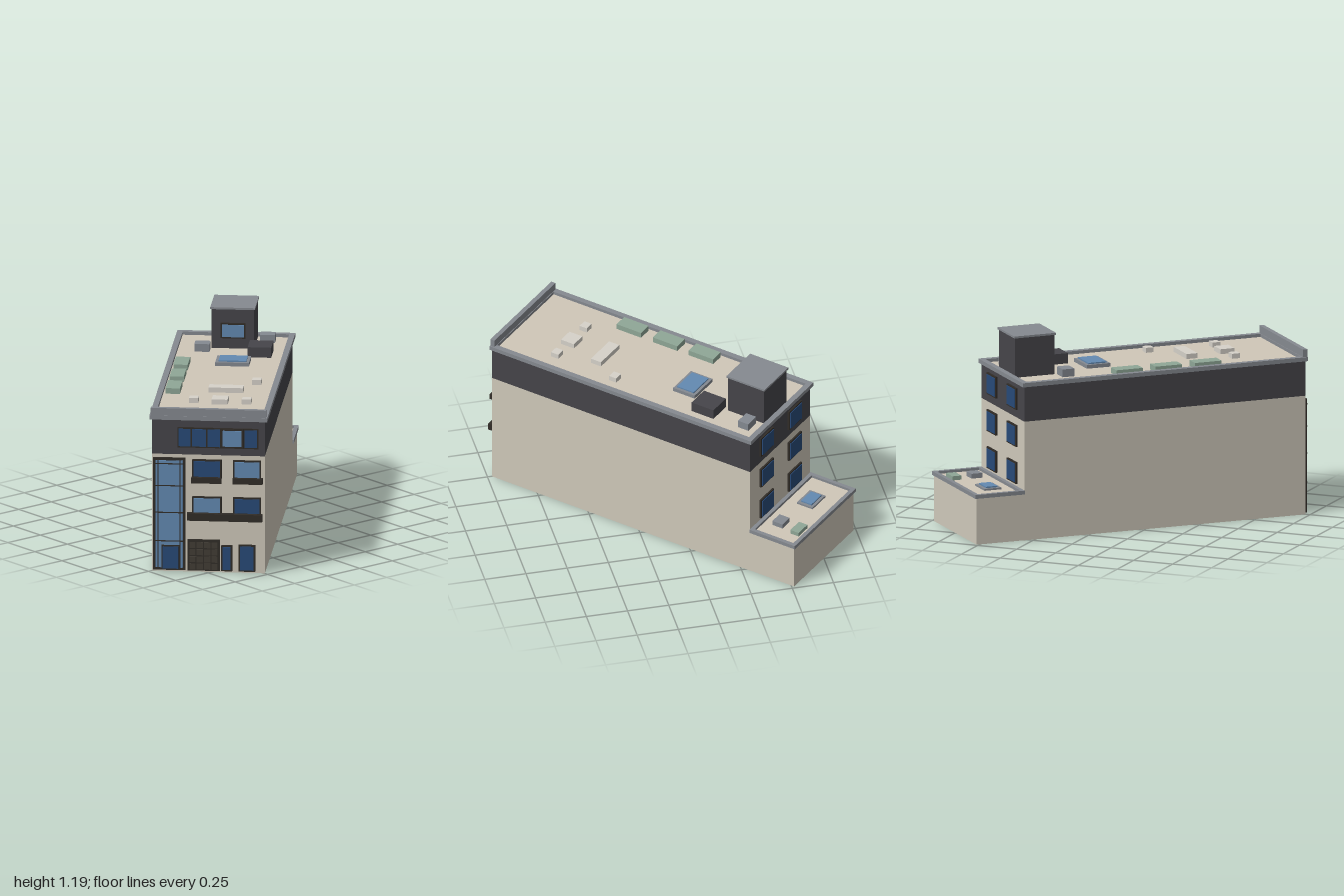
import * as THREE from 'three';

const mat = (color) => new THREE.MeshStandardMaterial({ color, flatShading: true });
const M = {
  wall: mat(0xd0cabb), charcoal: mat(0x46454a), deck: mat(0xd0c7b8), coping: mat(0x868a90),
  frame: mat(0x322d28), panel: mat(0x423d36), glass: mat(0x638ab2), darkGlass: mat(0x284a78),
  green: mat(0x8fa797), vent: mat(0xd6d2ca), unit: mat(0x858a92),
};

export function createModel() {
  const model = new THREE.Group();
  model.name = 'townhouse';
  // the whole building stands diagonally; inside it the facade faces +z
  const house = new THREE.Group();
  house.name = 'building';
  house.rotation.y = Math.PI / 4;
  model.add(house);

  // box from its minimum and maximum extents
  function box(name, m, x0, x1, y0, y1, z0, z1) {
    const mesh = new THREE.Mesh(new THREE.BoxGeometry(x1 - x0, y1 - y0, z1 - z0), m);
    mesh.position.set((x0 + x1) / 2, (y0 + y1) / 2, (z0 + z1) / 2);
    mesh.name = name;
    house.add(mesh);
    return mesh;
  }
  // box standing on a roof, from centre and size
  const onRoof = (name, m, x, z, w, d, y0, y1) =>
    box(name, m, x - w / 2, x + w / 2, y0, y1, z - d / 2, z + d / 2);

  // flat rectangular ring along the roof edge
  function ring(name, m, x0, x1, z0, z1, t, y0, y1) {
    const s = new THREE.Shape([[x0, -z0], [x0, -z1], [x1, -z1], [x1, -z0]].map((p) => new THREE.Vector2(...p)));
    s.holes.push(new THREE.Path([[x0 + t, -z0 - t], [x1 - t, -z0 - t], [x1 - t, -z1 + t], [x0 + t, -z1 + t]]
      .map((p) => new THREE.Vector2(...p))));
    const g = new THREE.ExtrudeGeometry(s, { depth: y1 - y0, bevelEnabled: false });
    g.rotateX(-Math.PI / 2);
    const mesh = new THREE.Mesh(g, m);
    mesh.position.y = y0;
    mesh.name = name;
    house.add(mesh);
  }

  // framed pane on a wall at depth z; dir is +1 facing front, -1 facing back
  function pane(name, x0, x1, y0, y1, glass, z, dir = 1, edge = 0.009) {
    const slab = (n, m, e, out) => box(n, m, x0 + e, x1 - e, y0 + e, y1 - e,
      Math.min(z - dir * 0.01, z + dir * out), Math.max(z - dir * 0.01, z + dir * out));
    slab(name + 'Frame', M.frame, 0, 0.012);
    slab(name + 'Glass', glass, edge, 0.017);
  }

  function skylight(x, z, w, d, y0, y1) {
    onRoof('skylightCurb', M.unit, x, z, w, d, y0, y1 - 0.008);
    onRoof('skylightGlass', M.glass, x, z, w - 0.035, d - 0.035, y0, y1);
  }

  // main body, top storey and roof
  const F = 1.04, B = -0.755, W = 0.335;
  box('mainWalls', M.wall, -W, W, 0, 0.72, B, F);
  box('topStorey', M.charcoal, -W, W, 0.72, 0.932, B, F);
  box('roofDeck', M.deck, -0.325, 0.325, 0.925, 0.938, B + 0.01, F - 0.01);
  ring('roofCoping', M.coping, -0.35, 0.35, -0.77, 1.05, 0.034, 0.932, 0.957);
  box('frontParapet', M.coping, -0.342, 0.342, 0.957, 1.003, 1.02, 1.048);

  // low rear extension
  box('extensionWalls', M.wall, -0.333, 0.333, 0, 0.28, -1.06, B);
  box('extensionDeck', M.deck, -0.325, 0.325, 0.27, 0.287, -1.05, B);
  ring('extensionCoping', M.coping, -0.342, 0.342, -1.07, B, 0.024, 0.28, 0.303);

  // tall stairwell glazing with its entrance door
  pane('stairwell', -0.328, -0.135, 0.01, 0.7, M.glass, F, 1, 0.016);
  for (const x of [-0.298, -0.166]) box('stairwellMullion', M.frame, x - 0.003, x + 0.003, 0.02, 0.69, F, F + 0.02);
  for (const y of [0.19, 0.365, 0.53, 0.665]) box('stairwellRail', M.frame, -0.315, -0.148, y - 0.003, y + 0.003, F, F + 0.02);
  pane('entranceDoor', -0.278, -0.168, 0.012, 0.165, M.darkGlass, F + 0.006);

  // garage door with raised panels
  box('garageFrame', M.frame, -0.122, 0.07, 0.01, 0.2, F - 0.01, F + 0.012);
  for (let r = 0; r < 4; r++)
    for (let c = 0; c < 4; c++) {
      const x = -0.112 + c * 0.0435, y = 0.018 + r * 0.044;
      box('garagePanel', M.panel, x, x + 0.038, y, y + 0.036, F, F + 0.016);
    }

  // ground floor doors and upper windows
  pane('narrowDoor', 0.077, 0.142, 0.01, 0.168, M.darkGlass, F);
  pane('sideDoor', 0.18, 0.278, 0.01, 0.174, M.darkGlass, F);
  pane('window', -0.095, 0.08, 0.36, 0.465, M.glass, F);
  pane('window', 0.147, 0.313, 0.36, 0.465, M.darkGlass, F);
  pane('window', -0.095, 0.08, 0.58, 0.693, M.darkGlass, F);
  pane('window', 0.147, 0.313, 0.58, 0.693, M.glass, F);
  box('balcony', M.frame, -0.125, 0.322, 0.322, 0.366, F - 0.01, 1.075);
  for (const x of [-0.1, 0.145]) box('windowBox', M.frame, x, x + 0.178, 0.55, 0.585, F - 0.01, 1.065);

  // ribbon window in the top storey
  box('ribbonFrame', M.frame, -0.182, 0.298, 0.765, 0.888, F - 0.01, F + 0.01);
  for (const [x0, x1] of [[-0.175, -0.105], [-0.095, -0.013], [-0.003, 0.07], [0.215, 0.29]])
    box('ribbonPane', M.darkGlass, x0, x1, 0.773, 0.88, F, F + 0.014);
  pane('ribbonCasement', 0.078, 0.208, 0.77, 0.885, M.glass, F + 0.004);

  // rear windows, three rows of two
  for (const y of [0.32, 0.545, 0.77])
    for (const x of [-0.157, 0.157]) pane('rearWindow', x - 0.072, x + 0.072, y, y + 0.13, M.darkGlass, B, -1);

  // stair penthouse
  const R = 0.935;
  onRoof('penthouse', M.charcoal, 0.005, -0.601, 0.252, 0.252, R, 1.178);
  onRoof('penthouseRoof', M.coping, 0.005, -0.601, 0.266, 0.266, 1.178, 1.19);
  pane('penthouseWindow', -0.066, 0.082, 1.002, 1.095, M.glass, -0.475);

  // rooftop equipment
  onRoof('airUnit', M.unit, 0.198, -0.65, 0.09, 0.07, R, 0.985);
  onRoof('airUnit', M.unit, -0.17, -0.424, 0.09, 0.075, R, 0.985);
  onRoof('plantBox', M.charcoal, 0.18, -0.371, 0.14, 0.152, R, 1.0);
  skylight(0.036, -0.171, 0.2, 0.15, R, 0.968);
  for (const z of [-0.07, 0.18, 0.432]) onRoof('planter', M.green, -0.26, z, 0.085, 0.17, R, 0.972);
  for (const [x, z, w, d] of [[0.216, 0.258, 0.055, 0.05], [0.05, 0.431, 0.205, 0.07],
    [0.194, 0.675, 0.055, 0.05], [0.036, 0.672, 0.095, 0.09], [-0.12, 0.672, 0.055, 0.05]])
    onRoof('roofVent', M.vent, x, z, w, d, R, 0.968);

  // extension roof equipment
  skylight(-0.12, -0.898, 0.145, 0.108, 0.28, 0.306);
  onRoof('airUnit', M.unit, 0.17, -0.868, 0.08, 0.07, 0.28, 0.316);
  onRoof('planter', M.green, 0.178, -0.997, 0.098, 0.058, 0.28, 0.312);

  return model;
}
